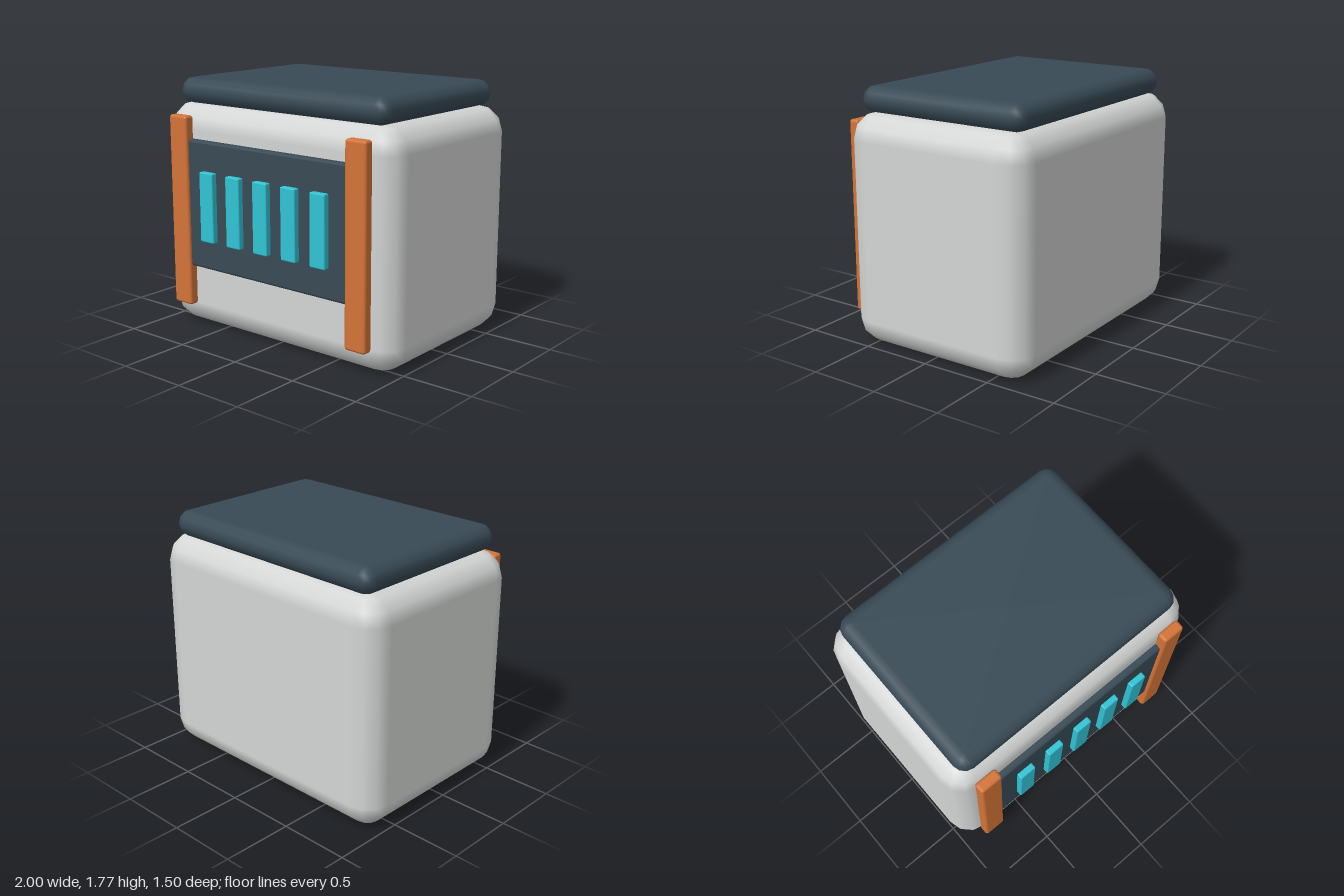
import * as THREE from 'three';

const mat = (name, color) => new THREE.MeshStandardMaterial({ name, color });

// Box with rounded edges and corners: a coarse sphere pulled apart at its quarter lines.
function roundedBox(w, h, d, r, steps = 3) {
  const quarter = Math.PI / 2;
  const columns = [];
  for (let q = 0; q < 4; q++) {
    const sx = q === 0 || q === 3 ? 1 : -1;
    const sz = q < 2 ? 1 : -1;
    for (let i = 0; i <= steps; i++) columns.push({ a: (q + i / steps) * quarter, sx, sz });
  }
  columns.push(columns[0]);

  const rows = [{ t: 0, sy: 1, spread: 0 }];
  for (const half of [0, 1]) {
    for (let i = 0; i <= steps; i++) {
      rows.push({ t: (half + i / steps) * quarter, sy: half ? -1 : 1, spread: 1 });
    }
  }
  rows.push({ t: Math.PI, sy: -1, spread: 0 });

  const positions = [], normals = [], index = [];
  for (const { t, sy, spread } of rows) {
    for (const { a, sx, sz } of columns) {
      const n = [Math.sin(t) * Math.cos(a), Math.cos(t), Math.sin(t) * Math.sin(a)];
      positions.push(
        spread * sx * (w / 2 - r) + r * n[0],
        sy * (h / 2 - r) + r * n[1],
        spread * sz * (d / 2 - r) + r * n[2]
      );
      normals.push(...n);
    }
  }
  const m = columns.length;
  for (let i = 0; i < rows.length - 1; i++) {
    for (let j = 0; j < m - 1; j++) {
      const a = i * m + j, b = a + m;
      index.push(a, a + 1, b, a + 1, b + 1, b);
    }
  }
  const geo = new THREE.BufferGeometry();
  geo.setAttribute('position', new THREE.Float32BufferAttribute(positions, 3));
  geo.setAttribute('normal', new THREE.Float32BufferAttribute(normals, 3));
  geo.setIndex(index);
  return geo;
}

export function createModel() {
  const group = new THREE.Group();
  const shell = mat('light grey shell', 0xd3d6d4);
  const slate = mat('dark slate', 0x384a55);
  const orange = mat('orange trim', 0xd47438);
  const cyan = mat('cyan light', 0x30c4d5);

  // Adds a rounded box spanning the given ranges
  const add = (name, material, [x0, x1], [y0, y1], [z0, z1], r) => {
    const mesh = new THREE.Mesh(roundedBox(x1 - x0, y1 - y0, z1 - z0, r), material);
    mesh.position.set((x0 + x1) / 2, (y0 + y1) / 2, (z0 + z1) / 2);
    mesh.name = name;
    group.add(mesh);
  };

  // Main case and lid
  add('body', shell, [-1, 1], [0, 1.6], [-0.75, 0.66], 0.18);
  add('lid', slate, [-0.9, 0.9], [1.587, 1.77], [-0.685, 0.603], 0.09);

  // Front panel
  add('frontPanel', slate, [-0.7, 0.7], [0.46, 1.365], [0.645, 0.707], 0.02);

  // Upright trim on both sides of the panel
  add('leftUpright', orange, [0.69, 0.855], [0.17, 1.525], [0.65, 0.728], 0.02);
  add('rightUpright', orange, [-0.855, -0.69], [0.17, 1.525], [0.65, 0.728], 0.02);

  // Row of light bars
  for (let i = -2; i <= 2; i++) {
    const x = i * 0.245;
    add('lightBar' + (i + 3), cyan, [x - 0.062, x + 0.062], [0.67, 1.16], [0.7, 0.75], 0.01);
  }
  return group;
}
